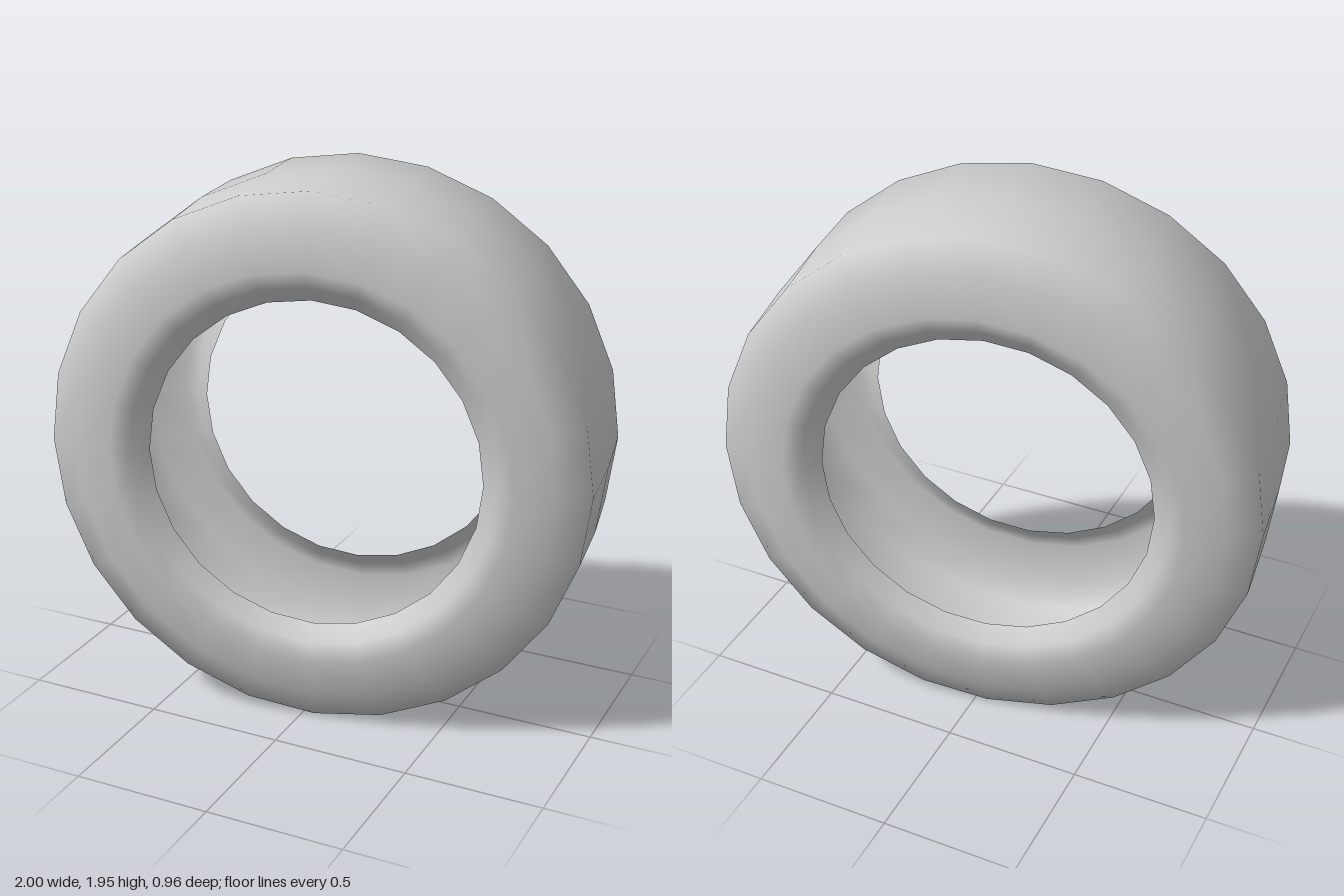
import * as THREE from 'three';

const SEGMENTS = 24;
const TURN = 0.161; // the wheel is steered slightly about the vertical axis
const TREAD = 0.975; // radius at the middle of the slightly crowned tread

// Half of the section as [radius, offset along the axle], tread to bead
const halfSection = [
  [0.967, 0.289],  // tread edge
  [0.86, 0.333],   // shoulder
  [0.717, 0.369],  // sidewall bulge
  [0.655, 0.338],  // sloping rim seat
  [0.598, 0.292],  // bead
];

export function createModel() {
  const group = new THREE.Group();
  group.name = 'tire';

  // Hollow shell, open between the two beads
  const front = halfSection.map(([r, a]) => new THREE.Vector2(r, a));
  const back = halfSection.map(([r, a]) => new THREE.Vector2(r, -a)).reverse();
  const profile = [...back, new THREE.Vector2(TREAD, 0), ...front];

  const geometry = new THREE.LatheGeometry(profile, SEGMENTS);
  geometry.rotateX(Math.PI / 2); // axle along z

  const tire = new THREE.Mesh(
    geometry,
    new THREE.MeshStandardMaterial({ color: 0xcccccc, side: THREE.DoubleSide })
  );
  tire.name = 'tireShell';
  tire.rotation.y = TURN;
  tire.position.y = TREAD;
  group.add(tire);
  return group;
}
